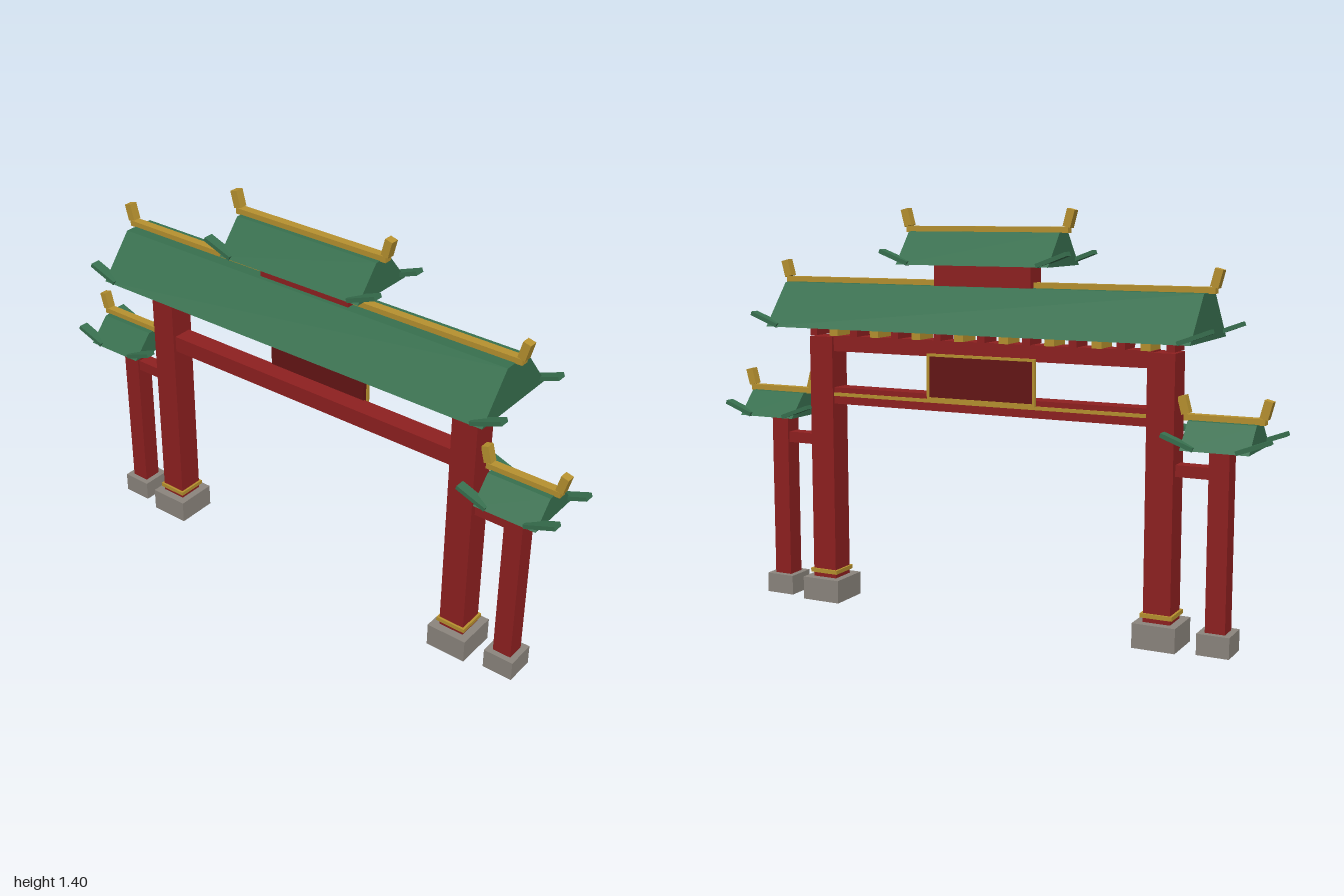
import * as THREE from 'three';

const mat = (color) => new THREE.MeshStandardMaterial({ color, flatShading: true });

export function createModel() {
  const red = mat(0x8f2020), darkRed = mat(0x651515), green = mat(0x38704f);
  const gold = mat(0xb8922f), stone = mat(0x8c867e);
  const model = new THREE.Group();

  const box = (parent, name, material, size, pos, tilt = 0) => {
    const mesh = new THREE.Mesh(new THREE.BoxGeometry(...size), material);
    mesh.name = name;
    mesh.position.set(...pos);
    mesh.rotation.z = tilt;
    parent.add(mesh);
    return mesh;
  };

  // Gabled roof: trapezoid prism, ridge bar, tilted ridge ends, upturned eave corners
  const roof = (name, { x = 0, y, half, height, top, bottom, ridge }) => {
    const g = new THREE.Group();
    g.name = name;
    g.position.set(x, y, 0);
    const profile = new THREE.Shape([
      new THREE.Vector2(-bottom, 0), new THREE.Vector2(bottom, 0),
      new THREE.Vector2(top, height), new THREE.Vector2(-top, height),
    ]);
    const geo = new THREE.ExtrudeGeometry(profile, { depth: half * 2, bevelEnabled: false });
    geo.translate(0, 0, -half).rotateY(Math.PI / 2);
    const slopes = new THREE.Mesh(geo, green);
    slopes.name = 'roofSlopes';
    g.add(slopes);
    box(g, 'ridge', gold, [ridge * 2, 0.02, 0.03], [0, height + 0.008, 0]);
    for (const s of [-1, 1]) {
      box(g, 'ridgeEnd', gold, [0.027, 0.058, 0.03], [s * (ridge + 0.002), height + 0.046, 0], -s * 0.26);
      for (const f of [-1, 1]) {
        box(g, 'eaveCorner', green, [0.112, 0.014, 0.035],
          [s * (half + 0.01), 0.024, f * (bottom - 0.015)], s * 0.36);
      }
    }
    model.add(g);
  };

  // Posts, plinths and side bays, mirrored
  for (const s of [-1, 1]) {
    box(model, 'mainPlinth', stone, [0.146, 0.082, 0.15], [s * 0.63, 0.041, 0]);
    box(model, 'mainPost', red, [0.092, 0.87, 0.092], [s * 0.63, 0.515, 0]);
    box(model, 'postBand', gold, [0.108, 0.014, 0.108], [s * 0.63, 0.105, 0]);
    box(model, 'sidePlinth', stone, [0.108, 0.07, 0.108], [s * 0.82, 0.036, 0]);
    box(model, 'sidePost', red, [0.066, 0.66, 0.066], [s * 0.82, 0.33, 0]);
    box(model, 'sideBeam', red, [0.15, 0.038, 0.05], [s * 0.73, 0.579, 0]);
    roof('sideRoof', { x: s * 0.826, y: 0.66, half: 0.11, height: 0.082, top: 0.035, bottom: 0.11, ridge: 0.13 });
  }

  // Cross beams
  box(model, 'upperBeam', red, [1.2, 0.055, 0.07], [0, 0.927, 0]);
  box(model, 'lowerBeam', red, [1.2, 0.058, 0.07], [0, 0.743, 0]);
  box(model, 'beamTrim', gold, [1.17, 0.012, 0.006], [0, 0.748, -0.037]);

  // Plaque on the back, with a gold frame
  box(model, 'plaque', darkRed, [0.39, 0.152, 0.02], [0, 0.832, -0.04]);
  for (const s of [-1, 1]) {
    box(model, 'plaqueFrame', gold, [0.402, 0.009, 0.01], [0, 0.832 + s * 0.074, -0.049]);
    box(model, 'plaqueFrame', gold, [0.009, 0.157, 0.01], [s * 0.1965, 0.832, -0.049]);
  }

  // Alternating roof brackets
  for (let i = -8; i <= 8; i++) {
    const even = i % 2 === 0;
    box(model, 'bracket', even ? red : gold, [even ? 0.028 : 0.034, 0.038, 0.09], [i * 0.0825, 0.973, 0]);
  }

  // Main roof, attic block and top roof
  roof('mainRoof', { y: 0.99, half: 0.767, height: 0.148, top: 0.056, bottom: 0.177, ridge: 0.79 });
  box(model, 'attic', red, [0.356, 0.08, 0.08], [0, 1.175, 0]);
  roof('topRoof', { y: 1.21, half: 0.277, height: 0.108, top: 0.033, bottom: 0.124, ridge: 0.297 });

  return model;
}
